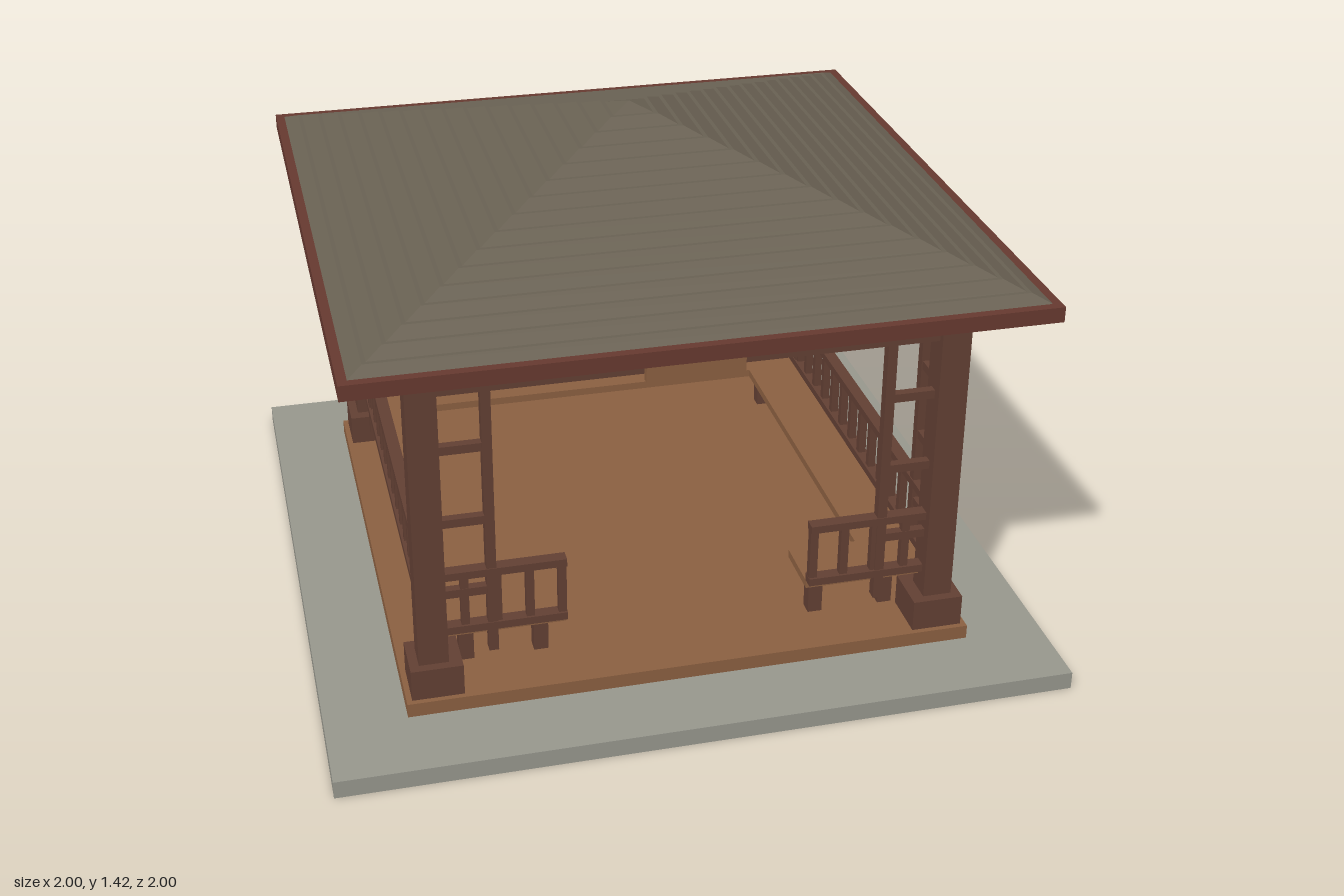
import * as THREE from 'three';

const mat = (name, color, extra = {}) => {
  const m = new THREE.MeshStandardMaterial({ color, ...extra });
  m.name = name;
  return m;
};

export function createModel() {
  const stone = mat('stone', 0x96968c);
  const timber = mat('dark timber', 0x613f33);
  const trim = mat('red brown trim', 0x66392f);
  const wood = mat('light wood', 0x8a5f40);
  const shingle = mat('shingle', 0x686052, { side: THREE.DoubleSide, flatShading: true });

  const model = new THREE.Group();
  model.name = 'pavilion';

  // Box given by its limits on each axis
  const box = (parent, name, material, [x0, x1], [y0, y1], [z0, z1]) => {
    const mesh = new THREE.Mesh(new THREE.BoxGeometry(x1 - x0, y1 - y0, z1 - z0), material);
    mesh.position.set((x0 + x1) / 2, (y0 + y1) / 2, (z0 + z1) / 2);
    mesh.name = name;
    parent.add(mesh);
    return mesh;
  };
  const around = (c, w) => [c - w / 2, c + w / 2];

  // Sloping timber between two points
  const strut = (parent, name, a, b, w, h) => {
    const from = new THREE.Vector3(...a), to = new THREE.Vector3(...b);
    const mesh = new THREE.Mesh(new THREE.BoxGeometry(w, h, from.distanceTo(to)), timber);
    mesh.position.copy(from).add(to).multiplyScalar(0.5);
    mesh.lookAt(to);
    mesh.name = name;
    parent.add(mesh);
  };

  // Flat square frame lying level
  const frame = (name, material, outer, inner, y, h) => {
    const square = (path, r) => path.moveTo(-r, -r).lineTo(r, -r).lineTo(r, r).lineTo(-r, r).closePath();
    const shape = square(new THREE.Shape(), outer);
    shape.holes.push(square(new THREE.Path(), inner));
    const geo = new THREE.ExtrudeGeometry(shape, { depth: h, bevelEnabled: false }).rotateX(-Math.PI / 2);
    const mesh = new THREE.Mesh(geo, material);
    mesh.position.y = y;
    mesh.name = name;
    model.add(mesh);
  };

  // Ground slab and deck
  box(model, 'slab', stone, [-1, 1], [0, 0.05], [-1, 1]);
  box(model, 'deck', wood, [-0.78, 0.78], [0.05, 0.09], [-0.78, 0.78]);

  // Corner posts with plinths and bench legs
  for (const sx of [-1, 1]) for (const sz of [-1, 1]) {
    box(model, 'plinth', timber, around(sx * 0.695, 0.14), [0.09, 0.18], around(sz * 0.695, 0.14));
    box(model, 'post', timber, around(sx * 0.7, 0.08), [0.09, 1.12], around(sz * 0.7, 0.08));
    box(model, 'benchLeg', timber, around(sx * 0.595, 0.04), [0.09, 0.235], around(sz * 0.595, 0.04));
  }

  // Railing and bench along part of one side, from x0 to x1
  const railing = (side, x0, x1) => {
    box(side, 'topRail', timber, [x0, x1], [0.415, 0.437], around(0.7, 0.035));
    box(side, 'bottomRail', timber, [x0, x1], [0.248, 0.27], around(0.7, 0.035));
    box(side, 'benchSeat', wood, [x0, x1], [0.225, 0.248], [0.53, 0.69]);
    for (let k = -7; k <= 7; k++) {
      const x = k * 0.0867;
      if (x > x0 && x < x1) box(side, 'baluster', timber, around(x, 0.022), [0.27, 0.415], around(0.7, 0.022));
    }
  };

  // Four sides, turned about the centre; side 0 is the open front
  for (let i = 0; i < 4; i++) {
    const side = new THREE.Group();
    side.name = ['frontSide', 'leftSide', 'backSide', 'rightSide'][i];
    side.rotation.y = i * Math.PI / 2;
    model.add(side);

    box(side, 'tieBeam', timber, [-0.66, 0.66], [0.962, 1.0], around(0.7, 0.04));
    box(side, 'wallPlate', timber, [-0.66, 0.66], [1.082, 1.12], around(0.7, 0.05));

    // Ladder trellis beside each post
    for (const s of [-1, 1]) {
      box(side, 'trellisUpright', timber, around(s * 0.535, 0.026), [0.18, 0.962], around(0.7, 0.03));
      for (const y of [0.37, 0.585, 0.8])
        box(side, 'trellisRung', timber, around(s * 0.605, 0.12), around(y, 0.024), around(0.7, 0.024));
    }

    if (i === 0) {
      // Short railings either side of the entrance
      for (const s of [-1, 1]) {
        railing(side, s < 0 ? -0.665 : 0.335, s < 0 ? -0.335 : 0.665);
        box(side, 'benchLeg', timber, around(s * 0.39, 0.04), [0.09, 0.235], around(0.595, 0.04));
      }
    } else railing(side, -0.665, 0.665);

    // Rafters under the roof
    strut(side, 'commonRafter', [0, 1.085, 0.86], [0, 1.355, 0.04], 0.035, 0.035);
    strut(side, 'hipRafter', [0.86, 1.09, 0.86], [0.04, 1.365, 0.04], 0.035, 0.035);
    if (i % 2) for (const s of [-1, 1])
      strut(side, 'jackRafter', [s * 0.62, 1.085, 0.86], [s * 0.62, 1.16, 0.63], 0.03, 0.03);
  }

  // Blank board hung over the entrance
  box(model, 'entranceBoard', wood, [-0.13, 0.13], [0.947, 1.06], [0.72, 0.745]);

  // Eaves
  frame('fascia', trim, 0.91, 0.87, 1.08, 0.042);
  frame('soffit', timber, 0.875, 0.72, 1.1, 0.008);

  // Hipped roof in shallow shingle courses
  const courses = 16, half = 0.89, profile = [];
  for (let i = 0; i < courses; i++) {
    const r = half * (1 - i / courses), y = 1.12 + 0.3 * i / courses;
    const step = half / courses;
    profile.push(new THREE.Vector2(r * Math.SQRT2, y));
    if (i < courses - 1)
      profile.push(new THREE.Vector2((r - step * 0.8) * Math.SQRT2, y + 0.3 / courses));
  }
  profile.push(new THREE.Vector2(0, 1.42));
  const roof = new THREE.Mesh(new THREE.LatheGeometry(profile, 4).rotateY(Math.PI / 4), shingle);
  roof.name = 'roof';
  model.add(roof);

  return model;
}
